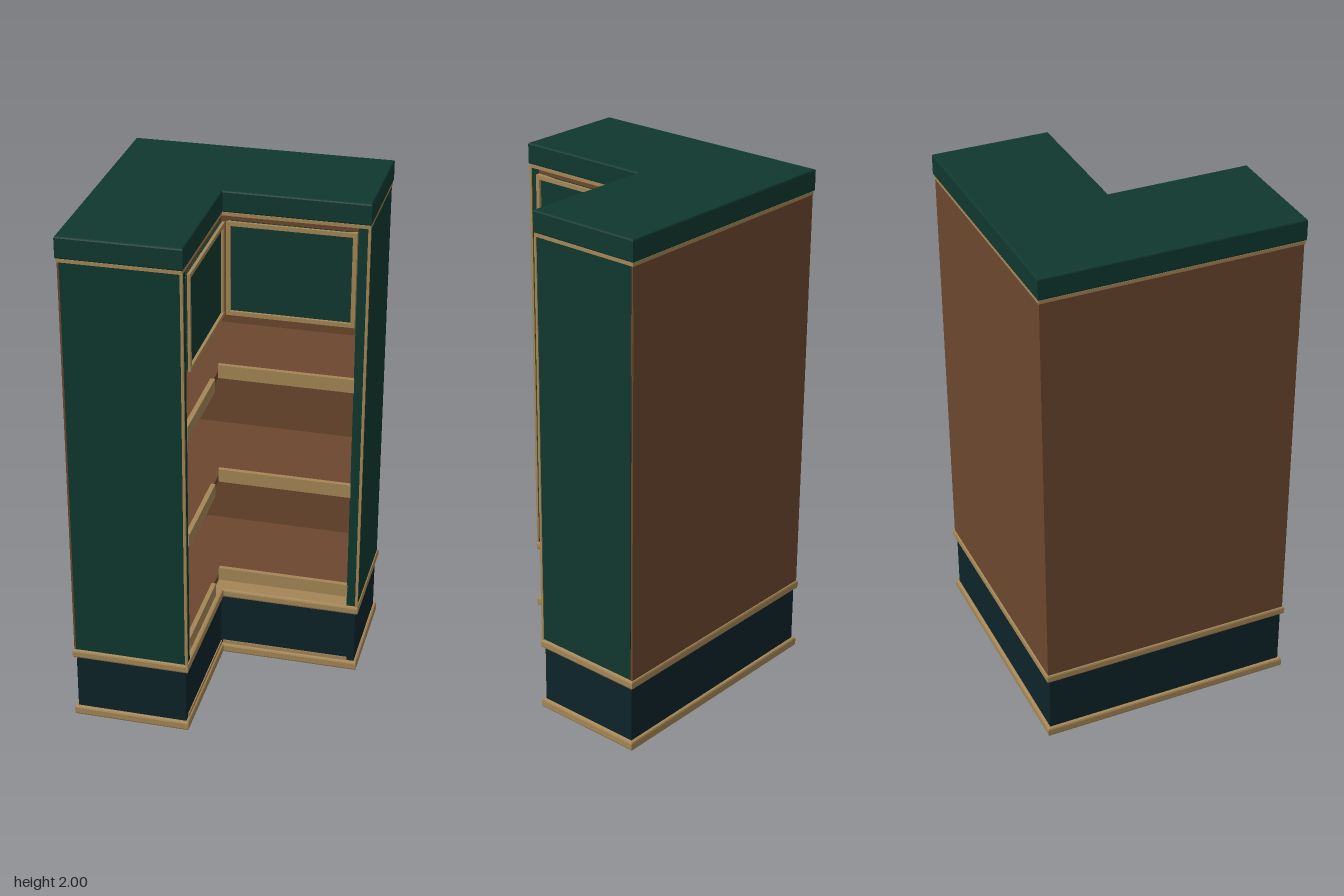
import * as THREE from 'three';

const material = (name, color) => {
  const m = new THREE.MeshStandardMaterial({ color });
  m.name = name;
  return m;
};

export function createModel() {
  const green = material('dark green', 0x0f382f);
  const brown = material('walnut brown', 0x6c472e);
  const gold = material('light oak', 0xa48655);
  const navy = material('dark navy', 0x0d2329);
  const model = new THREE.Group();
  model.name = 'cornerCabinet';

  const IN = -0.045; // position of the inner corner faces

  // L-shaped slab between two heights, inset all round, with softened edges
  function slab(name, mat, y0, y1, inset = 0, bevel = 0) {
    const a = -0.5 + inset, b = 0.5 - inset, c = IN - inset;
    const shape = new THREE.Shape(
      [[a, a], [b, a], [b, c], [c, c], [c, b], [a, b]].map(([x, y]) => new THREE.Vector2(x, y)));
    const geo = new THREE.ExtrudeGeometry(shape, {
      depth: y1 - y0 - 2 * bevel, bevelEnabled: bevel > 0,
      bevelSize: bevel, bevelThickness: bevel, bevelOffset: -bevel, bevelSegments: 2,
    });
    geo.rotateX(Math.PI / 2);
    const mesh = new THREE.Mesh(geo, mat);
    mesh.position.y = y1 - bevel;
    mesh.name = name;
    model.add(mesh);
  }

  // Box given by its extents
  function box(name, mat, x0, x1, y0, y1, z0, z1) {
    const mesh = new THREE.Mesh(new THREE.BoxGeometry(x1 - x0, y1 - y0, z1 - z0), mat);
    mesh.position.set((x0 + x1) / 2, (y0 + y1) / 2, (z0 + z1) / 2);
    mesh.name = name;
    model.add(mesh);
  }

  // Same box on both wings, mirrored across the diagonal of the plan
  function pair(name, mat, x0, x1, y0, y1, z0, z1) {
    box(name + 'Left', mat, x0, x1, y0, y1, z0, z1);
    box(name + 'Right', mat, z0, z1, y0, y1, x0, x1);
  }

  // Base, plinth, platform and cornice
  slab('baseMoulding', gold, 0, 0.038, 0, 0.008);
  slab('plinth', navy, 0.038, 0.265, 0.012);
  slab('platform', gold, 0.265, 0.3, 0, 0.008);
  slab('topTrim', gold, 1.904, 1.917, 0.003);
  slab('cornice', green, 1.917, 2, 0, 0.006);
  pair('plinthTrim', gold, -0.05, 0.46, 0.038, 0.053, -0.06, -0.053);

  // Back walls and end panels with narrow corner trims
  pair('backWall', brown, -0.495, 0.492, 0.3, 1.905, -0.495, -0.477);
  pair('endPanel', green, 0.453, 0.495, 0.303, 1.905, -0.487, -0.05);
  pair('endPanelTrim', gold, 0.488, 0.498, 0.3, 1.905, -0.057, -0.047);

  // Open shelves with raised front lips
  for (const y of [0.345, 0.795, 1.245]) {
    slab('shelf', brown, y, y + 0.027, 0.02);
    box('shelfLipLeft', gold, IN - 0.02, 0.455, y, y + 0.054, -0.065, -0.047);
    box('shelfLipRight', gold, -0.065, -0.047, y, y + 0.054, 0.065, 0.455);
  }

  // Upper cupboard with framed doors
  slab('upperCupboard', brown, 1.51, 1.905, 0.006);
  const x0 = -0.03, x1 = 0.452, y0 = 1.518, y1 = 1.888, w = 0.016;
  pair('door', green, x0, x1, y0, y1, -0.055, -0.044);
  pair('doorFrameTop', gold, x0, x1, y1 - w, y1, -0.055, -0.033);
  pair('doorFrameBottom', gold, x0, x1, y0, y0 + w, -0.055, -0.033);
  pair('doorFrameInner', gold, x0, x0 + w, y0, y1, -0.055, -0.034);
  pair('doorFrameOuter', gold, x1 - w, x1, y0, y1, -0.055, -0.034);

  return model;
}
